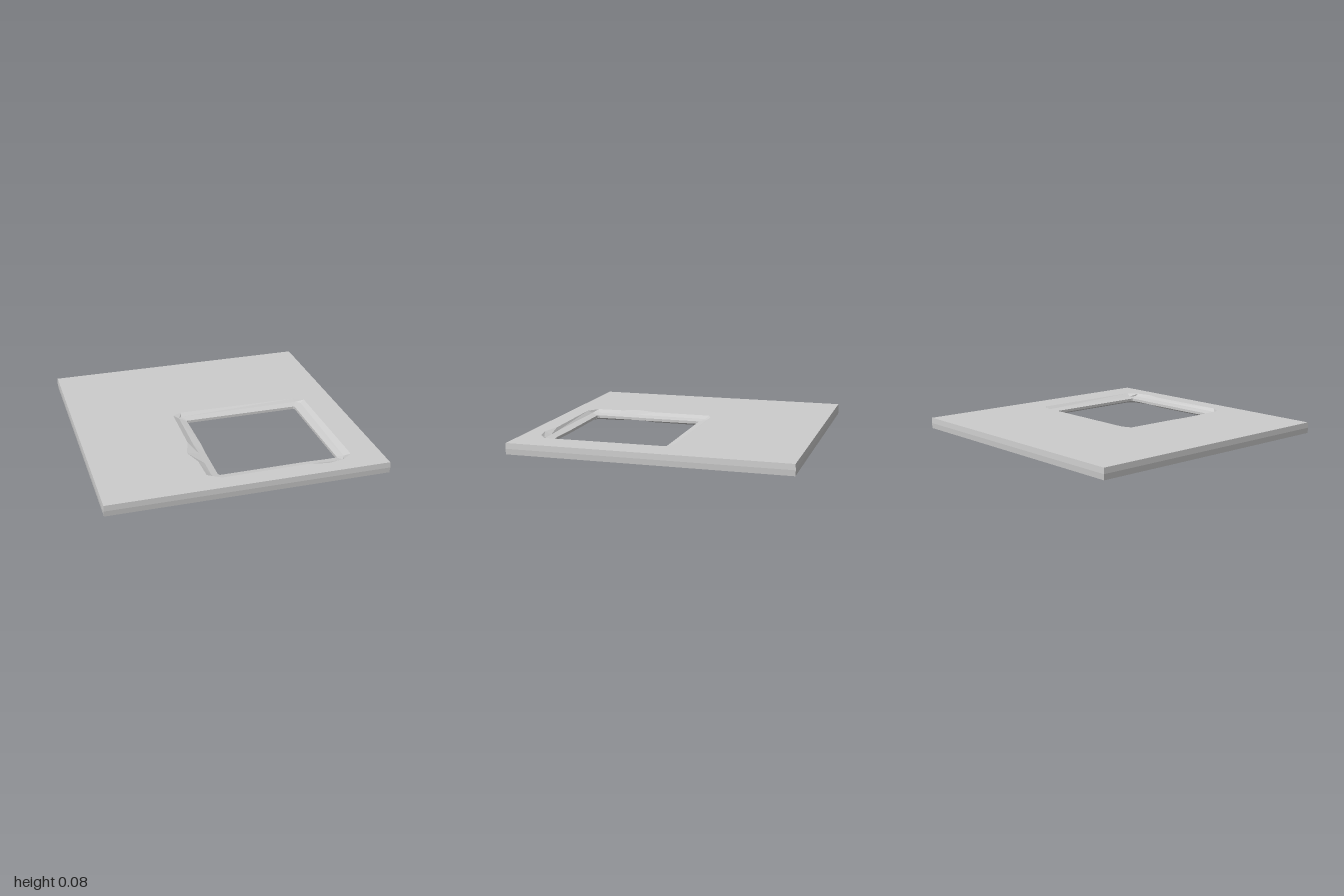
import * as THREE from 'three';

const H = 0.08;

// Outlines as [x, z], running back left, back right, front right, front left
const square = (s) => [[-s, -s], [s, -s], [s, s], [-s, s]];

// Worn rim of the opening, with a chip on the front and left edges
const rim = [
  [-0.26, -0.10], [-0.19, -0.13], [0.70, -0.12], [0.78, -0.08], [0.785, 0.81], [0.71, 0.865],
  [0.59, 0.89], [0.45, 0.86], [-0.17, 0.87], [-0.26, 0.81], [-0.265, 0.62], [-0.31, 0.48], [-0.265, 0.34],
];
// Ledge inside the rim
const ledge = [
  [-0.22, -0.08], [-0.20, -0.10], [0.72, -0.10], [0.75, -0.07], [0.74, 0.79], [0.72, 0.84],
  [0.60, 0.84], [0.45, 0.845], [-0.20, 0.84], [-0.22, 0.79], [-0.22, 0.62], [-0.22, 0.48], [-0.225, 0.34],
];
// Clear opening
const throat = [
  [-0.17, -0.04], [-0.16, -0.045], [0.68, -0.045], [0.69, -0.04], [0.695, 0.77], [0.69, 0.785],
  [0.59, 0.785], [0.45, 0.78], [-0.16, 0.785], [-0.17, 0.77], [-0.17, 0.62], [-0.17, 0.48], [-0.165, 0.34],
];

// Walls between stacked outlines, listed from top to bottom; they face inwards unless outward is set
function walls(levels, outward) {
  const n = levels[0].ring.length;
  const pos = [];
  const push = (level, i) => {
    const [x, z] = levels[level].ring[i % n];
    pos.push(x, levels[level].y, z);
  };
  for (let k = 0; k < levels.length - 1; k++) {
    for (let i = 0; i < n; i++) {
      const corners = [[k, i], [k + 1, i], [k, i + 1], [k, i + 1], [k + 1, i], [k + 1, i + 1]];
      if (outward) corners.reverse();
      corners.forEach(([level, j]) => push(level, j));
    }
  }
  const geo = new THREE.BufferGeometry();
  geo.setAttribute('position', new THREE.Float32BufferAttribute(pos, 3));
  geo.computeVertexNormals();
  return geo;
}

// Flat sheet with the opening cut out; dir is 1 facing up, -1 facing down
function sheet(outline, y, dir) {
  const toPoints = (ring) => ring.map(([x, z]) => new THREE.Vector2(x, -dir * z));
  const shape = new THREE.Shape(toPoints(outline));
  shape.holes.push(new THREE.Path(toPoints(rim)));
  return new THREE.ShapeGeometry(shape).rotateX(-dir * Math.PI / 2).translate(0, y, 0);
}

export function createModel() {
  const model = new THREE.Group();
  model.name = 'slabWithOpening';
  const material = new THREE.MeshStandardMaterial({ color: 0xcccccc, flatShading: true, side: THREE.DoubleSide });
  const add = (name, geometry) => {
    const mesh = new THREE.Mesh(geometry, material);
    mesh.name = name;
    model.add(mesh);
  };

  // Top and bottom faces
  const edge = square(0.997);
  add('topFace', sheet(edge, H, 1));
  add('bottomFace', sheet(edge, 0, -1));

  // Outer edge, slightly proud at mid height
  add('outerEdge', walls([
    { ring: edge, y: H }, { ring: square(1), y: H / 2 }, { ring: edge, y: 0 },
  ], true));

  // Bevelled surround of the opening, mirrored top to bottom
  add('openingSurround', walls([
    { ring: rim, y: H }, { ring: ledge, y: 0.06 }, { ring: throat, y: 0.05 },
    { ring: throat, y: 0.03 }, { ring: ledge, y: 0.02 }, { ring: rim, y: 0 },
  ], false));

  return model;
}
